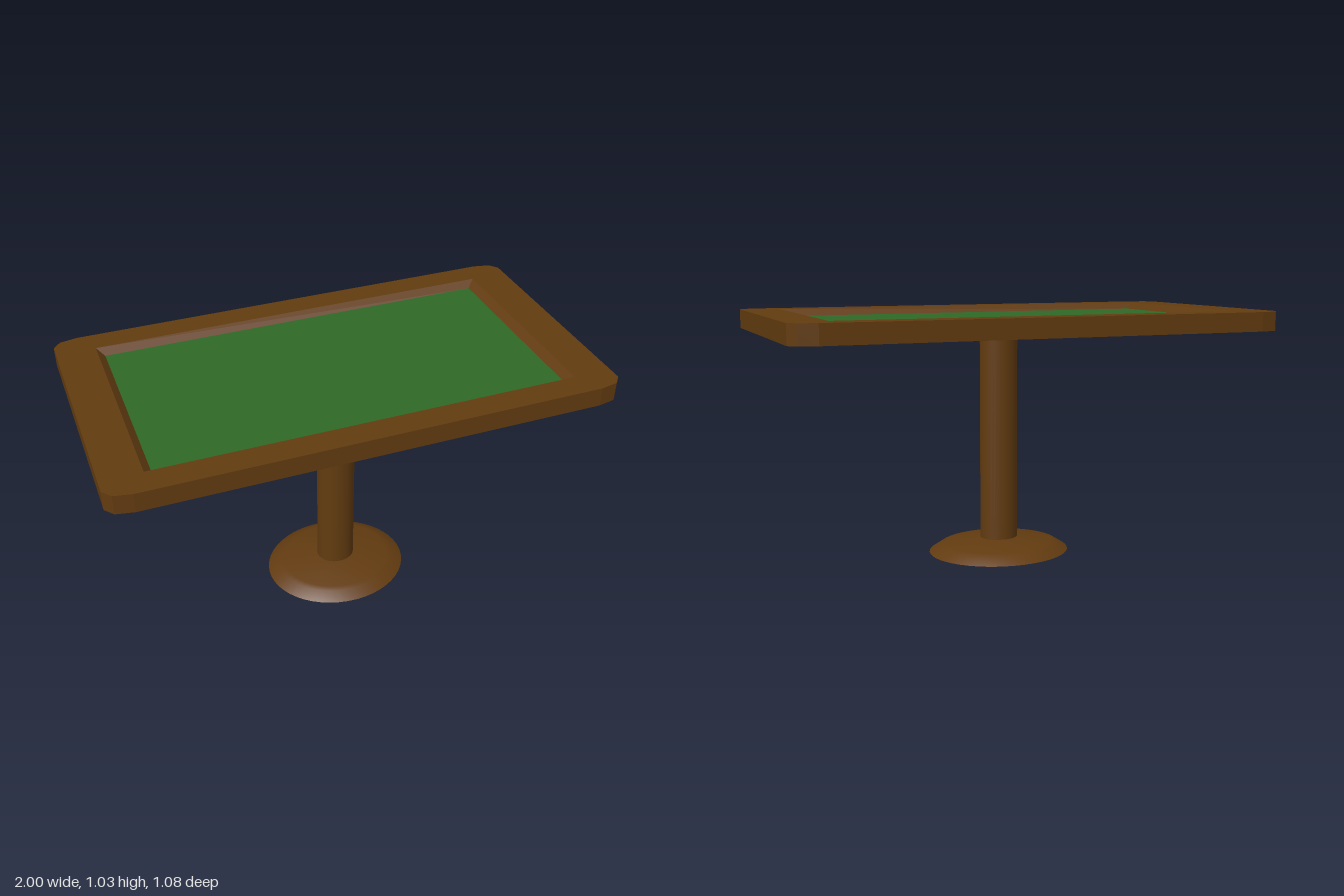
import * as THREE from 'three';
import { toCreasedNormals } from 'three/addons/utils/BufferGeometryUtils.js';

const wood = new THREE.MeshStandardMaterial({ color: 0x623b10, side: THREE.DoubleSide });
wood.name = 'brown wood';
const felt = new THREE.MeshStandardMaterial({ color: 0x2f6927 });
felt.name = 'green felt';

const BOTTOM = 0.95, FELT = 1.0, TOP = 1.028;

function addMesh(group, name, geometry, material) {
  const mesh = new THREE.Mesh(geometry, material);
  mesh.name = name;
  group.add(mesh);
  return mesh;
}

// Rectangle with corners cut in two facets
function tableOutline() {
  const corner = [[1, 0.49], [0.97, 0.526], [0.9, 0.54]];
  const back = [...corner].reverse();
  const points = [
    ...corner,
    ...back.map(([x, z]) => [-x, z]),
    ...corner.map(([x, z]) => [-x, -z]),
    ...back.map(([x, z]) => [x, -z]),
  ];
  return new THREE.Shape(points.map(([x, z]) => new THREE.Vector2(x, z)));
}

// Extrude upward from y0 to y1
function slab(shape, y0, y1) {
  return new THREE.ExtrudeGeometry(shape, { depth: y1 - y0, bevelEnabled: false })
    .rotateX(-Math.PI / 2).translate(0, y0, 0);
}

export function createModel() {
  const model = new THREE.Group();
  model.name = 'gamingTable';

  // Round foot and pedestal, slightly oval and a little off centre
  const pedestal = new THREE.Group();
  pedestal.name = 'pedestal';
  pedestal.position.set(0.012, 0, 0.031);
  pedestal.scale.set(1, 1, 0.88);
  model.add(pedestal);
  const profile = [[0, 0], [0.302, 0], [0.255, 0.03], [0.232, 0.036], [0.08, 0.058], [0, 0.058]]
    .map(([r, y]) => new THREE.Vector2(r, y));
  addMesh(pedestal, 'foot', toCreasedNormals(new THREE.LatheGeometry(profile, 48), 0.5), wood);
  addMesh(pedestal, 'column',
    new THREE.CylinderGeometry(0.08, 0.08, 0.89, 32).translate(0, 0.501, 0), wood);

  // Solid lower slab and raised rail around the playing surface
  const top = new THREE.Group();
  top.name = 'tableTop';
  model.add(top);
  addMesh(top, 'lowerSlab', slab(tableOutline(), BOTTOM, FELT - 0.004), wood);
  const railShape = tableOutline();
  const outer = { x: 0.842, z: 0.433 }, inner = { x: 0.812, z: 0.407 };
  railShape.holes.push(new THREE.Path([[-1, -1], [-1, 1], [1, 1], [1, -1]]
    .map(([x, z]) => new THREE.Vector2(x * outer.x, z * outer.z))));
  addMesh(top, 'rail', slab(railShape, FELT - 0.004, TOP), wood);

  // Sloping inner walls: four-sided tube narrowed towards the felt
  const walls = new THREE.CylinderGeometry(1, 1, TOP - FELT, 4, 1, true, Math.PI / 4).toNonIndexed();
  const pos = walls.attributes.position;
  for (let i = 0; i < pos.count; i++) {
    const size = pos.getY(i) > 0 ? outer : inner;
    pos.setX(i, Math.sign(pos.getX(i)) * size.x);
    pos.setZ(i, Math.sign(pos.getZ(i)) * size.z);
  }
  walls.computeVertexNormals();
  addMesh(top, 'innerWalls', walls, wood).position.set(0, (TOP + FELT) / 2, 0);

  // Playing surface
  addMesh(top, 'feltSurface',
    new THREE.PlaneGeometry(2 * inner.x, 2 * inner.z).rotateX(-Math.PI / 2).translate(0, FELT, 0), felt);

  return model;
}
